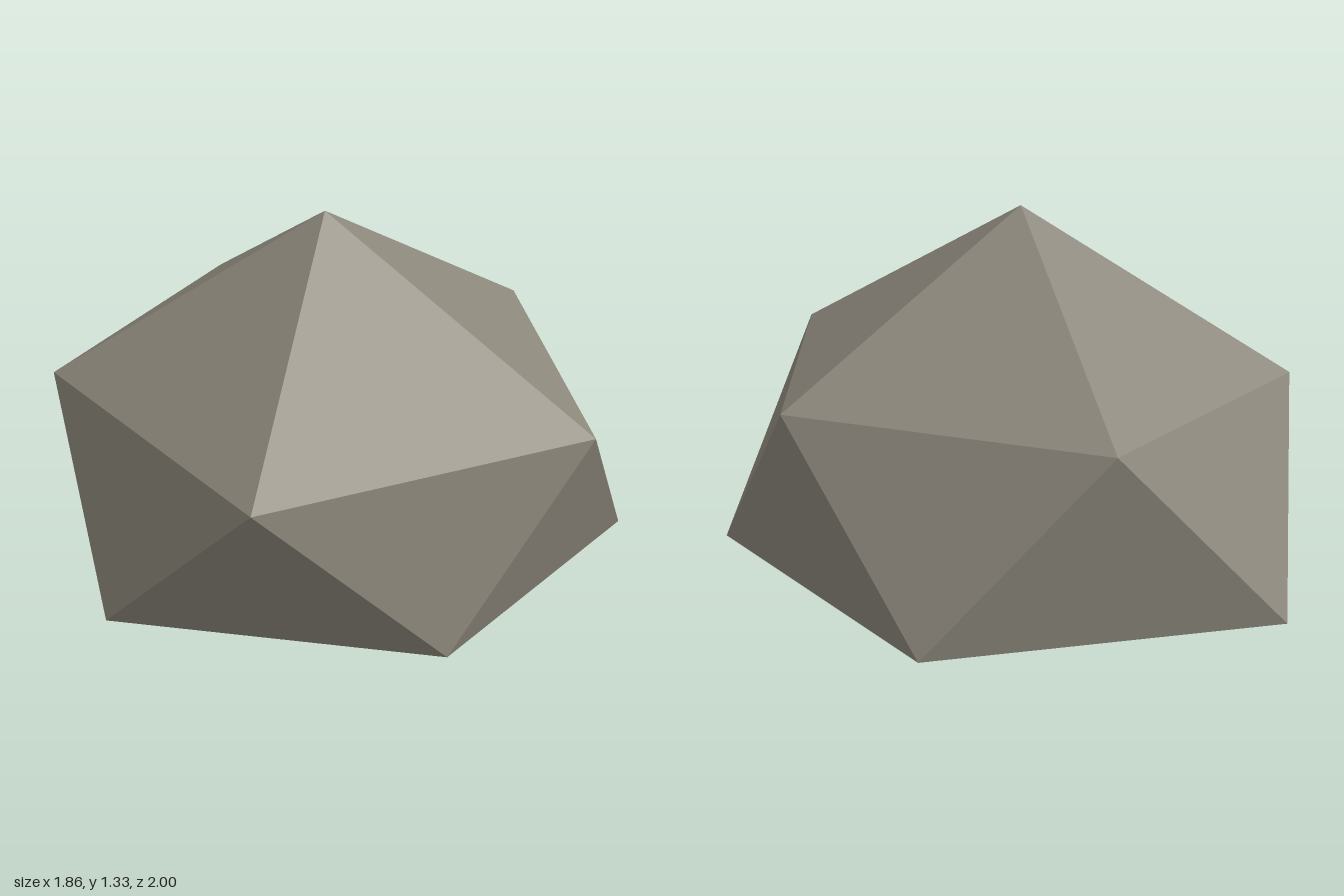
import * as THREE from 'three';

// Faceted boulder: an irregular icosahedron of two staggered rings and two poles.
export function createModel() {
  const stone = new THREE.MeshStandardMaterial({ color: 0x8c877b });
  stone.name = 'warm grey stone';
  stone.flatShading = true;

  const peak = [0.01, 1.33, 0.04];
  const base = [0.01, 0, 0.04];
  const upper = [
    [0.93, 0.77, 0.04], [0.3, 0.78, 1], [-0.865, 0.83, 0.72],
    [-0.71, 0.765, -0.52], [0.28, 0.76, -0.865],
  ];
  const lower = [
    [0.835, 0.12, 0.69], [-0.255, 0.17, 0.93], [-0.93, 0.15, 0.04],
    [-0.305, 0.12, -1], [0.82, 0.13, -0.59],
  ];

  // Each fifth has a cap face, two side faces and an underside face.
  const positions = [];
  const face = (...corners) => corners.forEach((c) => positions.push(...c));
  for (let i = 0; i < 5; i++) {
    const j = (i + 1) % 5;
    face(peak, upper[j], upper[i]);
    face(upper[i], upper[j], lower[i]);
    face(upper[j], lower[j], lower[i]);
    face(base, lower[i], lower[j]);
  }

  const geometry = new THREE.BufferGeometry();
  geometry.setAttribute('position', new THREE.Float32BufferAttribute(positions, 3));
  geometry.computeVertexNormals();

  const boulder = new THREE.Mesh(geometry, stone);
  boulder.name = 'boulder';
  const group = new THREE.Group();
  group.name = 'rock';
  group.add(boulder);
  return group;
}
